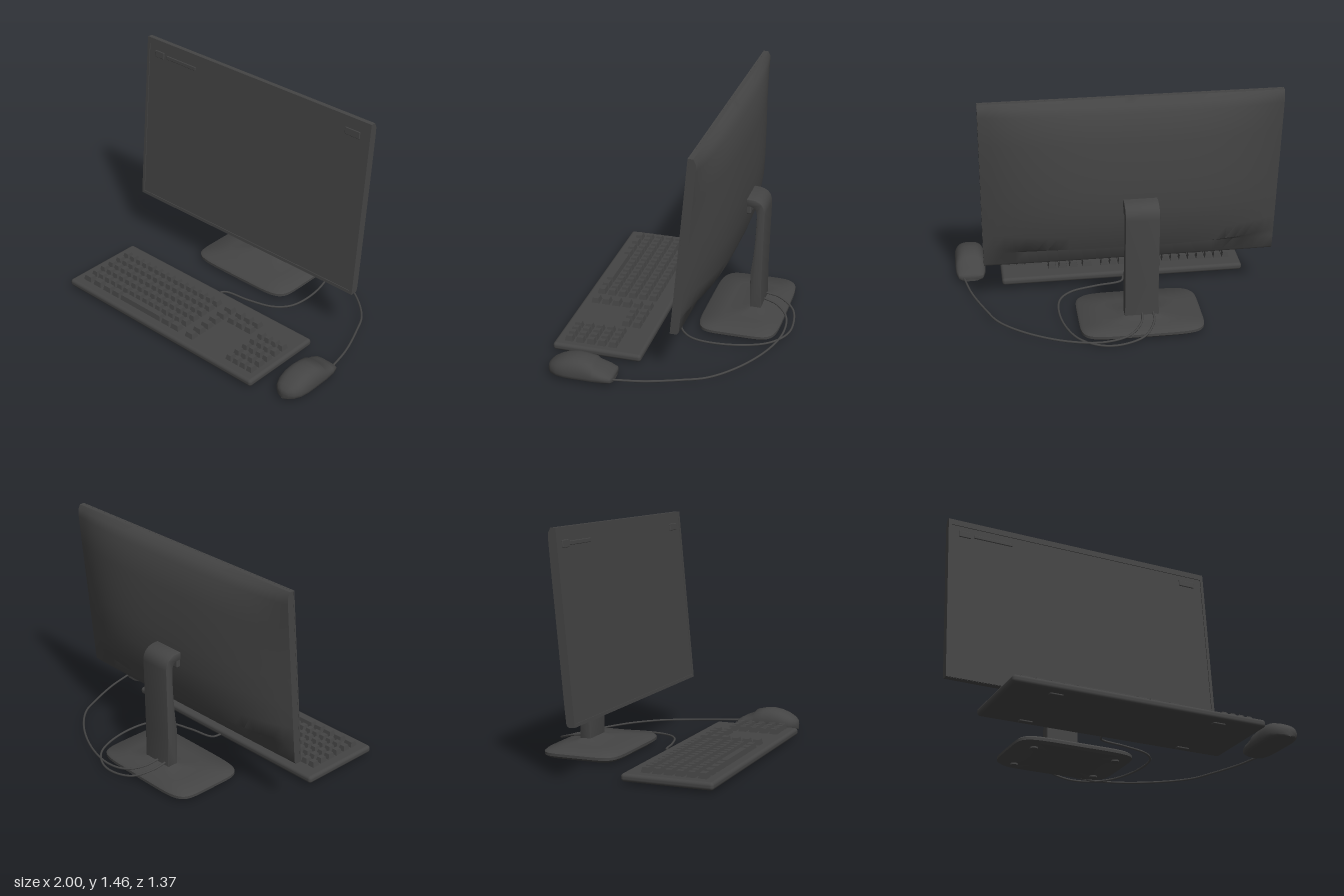
import * as THREE from 'three';
import { mergeGeometries, toCreasedNormals } from 'three/addons/utils/BufferGeometryUtils.js';
import { RoundedBoxGeometry } from 'three/addons/geometries/RoundedBoxGeometry.js';

const charcoal = new THREE.MeshStandardMaterial({ color: 0x444444 });
charcoal.name = 'charcoal plastic';

// Skin a list of equal-length rings of [x, y, z] and close both ends.
function loft(rings, crease = 0.7) {
  const n = rings[0].length, pos = rings.flat(2), idx = [];
  for (let i = 0; i < rings.length - 1; i++) {
    for (let j = 0; j < n; j++) {
      const a = i * n + j, b = i * n + (j + 1) % n;
      idx.push(a, b, b + n, a, b + n, a + n);
    }
  }
  [0, rings.length - 1].forEach((r, end) => {
    const c = pos.length / 3;
    for (let k = 0; k < 3; k++) pos.push(rings[r].reduce((s, p) => s + p[k], 0) / n);
    for (let j = 0; j < n; j++) {
      const a = r * n + j, b = r * n + (j + 1) % n;
      if (end) idx.push(c, a, b); else idx.push(c, b, a);
    }
  });
  const g = new THREE.BufferGeometry();
  g.setAttribute('position', new THREE.Float32BufferAttribute(pos, 3));
  g.setIndex(idx);
  return toCreasedNormals(g, crease);
}

const spow = (v, e) => Math.sign(v) * Math.pow(Math.abs(v), e);

function monitorShell() {
  // [height, thickness at the middle, thickness at the sides]
  const rows = [
    [0.33, 0.05, 0.045], [0.345, 0.062, 0.055], [0.43, 0.078, 0.056], [0.475, 0.165, 0.056],
    [0.58, 0.195, 0.056], [0.75, 0.208, 0.056], [0.9, 0.196, 0.056], [1.05, 0.177, 0.056],
    [1.2, 0.15, 0.056], [1.38, 0.11, 0.055], [1.425, 0.075, 0.052], [1.455, 0.034, 0.034],
  ];
  const M = 28;
  return loft(rows.map(([y, mid, side]) => {
    const zf = -0.112 - 0.0978 * (y - 0.33);
    const ring = [[-0.999, y, zf], [0.819, y, zf]];
    for (let i = 0; i <= M; i++) {
      const u = 1 - 2 * i / M;
      const t = side + (mid - side) * (1 - Math.pow(Math.abs(u), 3));
      ring.push([-0.09 + 0.909 * u, y, zf + 0.007 - t]);
    }
    return ring;
  }));
}

function bezel() {
  const rect = (path, w, h, dy = 0) => {
    path.moveTo(-w, dy - h); path.lineTo(w, dy - h); path.lineTo(w, dy + h);
    path.lineTo(-w, dy + h); path.closePath();
    return path;
  };
  const s = rect(new THREE.Shape(), 0.91, 0.565);
  s.holes.push(rect(new THREE.Path(), 0.89, 0.535, -0.01));
  return new THREE.ExtrudeGeometry(s, { depth: 0.009, bevelEnabled: false });
}

// Side profile of the column and its hooked arm, drawn as (-z, y).
function column() {
  const s = new THREE.Shape();
  s.moveTo(0.39, 0.05);
  s.lineTo(0.389, 0.33);
  s.quadraticCurveTo(0.417, 0.5, 0.422, 0.72);
  s.quadraticCurveTo(0.424, 0.79, 0.378, 0.795);
  s.lineTo(0.335, 0.795);
  s.lineTo(0.335, 0.838);
  s.lineTo(0.39, 0.835);
  s.quadraticCurveTo(0.463, 0.825, 0.465, 0.75);
  s.lineTo(0.454, 0.3);
  s.lineTo(0.454, 0.05);
  s.closePath();
  const g = new THREE.ExtrudeGeometry(s, {
    depth: 0.198, bevelThickness: 0.005, bevelSize: 0.004, bevelSegments: 2, curveSegments: 10,
  });
  g.translate(0, 0, -0.099).rotateY(Math.PI / 2);
  return toCreasedNormals(g, 0.6);
}

function base() {
  // [height, half width, half depth, z, roundness]
  const rows = [
    [0.01, 0.365, 0.238, -0.355, 6], [0.025, 0.385, 0.255, -0.355, 6], [0.042, 0.385, 0.255, -0.355, 6],
    [0.054, 0.372, 0.243, -0.355, 6], [0.066, 0.24, 0.15, -0.385, 5], [0.076, 0.14, 0.07, -0.415, 4],
    [0.088, 0.105, 0.04, -0.42, 6],
  ];
  return loft(rows.map(([y, hx, hz, z, n]) => Array.from({ length: 56 }, (_, i) => {
    const a = i / 56 * Math.PI * 2;
    return [-0.125 + hx * spow(Math.cos(a), 2 / n), y, z - hz * spow(Math.sin(a), 2 / n)];
  })));
}

function mouseBody() {
  // [z, half width, top height]
  const rows = [
    [0.208, 0.06, 0.052], [0.216, 0.08, 0.06], [0.26, 0.094, 0.083], [0.322, 0.098, 0.108],
    [0.334, 0.099, 0.126], [0.39, 0.099, 0.139], [0.44, 0.1, 0.144], [0.5, 0.099, 0.135],
    [0.55, 0.09, 0.115], [0.59, 0.07, 0.093], [0.612, 0.043, 0.073], [0.621, 0.015, 0.058],
  ];
  return loft(rows.map(([z, hw, top]) => Array.from({ length: 28 }, (_, i) => {
    const a = i / 28 * Math.PI * 2, s = Math.sin(a);
    const y = s >= 0 ? 0.045 + (top - 0.045) * Math.pow(s, 0.9) : 0.045 - 0.033 * Math.pow(-s, 0.5);
    return [0.896 + hw * spow(Math.cos(a), 0.75), y, z];
  })), 0.9);
}

// Key cap tapering towards its top.
function key(x, z, w, d = 0.058) {
  const g = new THREE.BoxGeometry(w, 0.045, d), p = g.attributes.position;
  for (let i = 0; i < p.count; i++) {
    if (p.getY(i) > 0) {
      p.setX(i, p.getX(i) - Math.sign(p.getX(i)) * 0.01);
      p.setZ(i, p.getZ(i) - Math.sign(p.getZ(i)) * 0.01);
    }
  }
  g.computeVertexNormals();
  return g.translate(x, 0.073, z);
}

function keys() {
  const list = [], rowZ = (r) => 0.24 + 0.07 * r;
  for (let r = 0; r < 5; r++) {
    for (let c = 0; c < 15; c++) list.push(key(-0.79 + c * 0.058, rowZ(r), 0.052));
  }
  // Bottom row with the space bar
  [-0.78, -0.69, -0.6, -0.52, -0.07, 0.01].forEach((x) => list.push(key(x, rowZ(5), 0.072)));
  list.push(key(-0.295, rowZ(5), 0.36));
  // Navigation keys and number pad
  for (let r = 0; r < 6; r++) list.push(key(0.135, rowZ(r), 0.07));
  for (let r = 0; r < 2; r++) [0.225, 0.295, 0.365].forEach((x) => list.push(key(x, rowZ(r), 0.06)));
  for (let r = 1; r < 6; r++) for (let c = 0; c < 4; c++) list.push(key(0.465 + c * 0.055, rowZ(r), 0.049));
  return mergeGeometries(list);
}

function cable(points) {
  const curve = new THREE.CatmullRomCurve3(points.map((p) => new THREE.Vector3(...p)));
  return new THREE.TubeGeometry(curve, 90, 0.007, 8);
}

export function createModel() {
  const model = new THREE.Group();
  model.name = 'desktopComputer';
  const add = (parent, name, geo, x = 0, y = 0, z = 0) => {
    const m = new THREE.Mesh(geo, charcoal);
    m.name = name;
    m.position.set(x, y, z);
    parent.add(m);
    return m;
  };
  const group = (name) => {
    const g = new THREE.Group();
    g.name = name;
    model.add(g);
    return g;
  };

  // Monitor
  const monitor = group('monitor');
  add(monitor, 'monitorShell', monitorShell());
  add(monitor, 'screenBezel', bezel(), -0.09, 0.893, -0.171).rotation.x = -0.0975;
  for (const [x, w] of [[-0.89, 0.08], [-0.7, 0.26], [0.69, 0.11]]) {
    const h = w > 0.2 ? 0.025 : 0.045;
    add(monitor, 'cornerDetail', new RoundedBoxGeometry(w, h, 0.009, 2, 0.004), x, 1.36, -0.211).rotation.x = -0.0975;
  }

  // Stand
  const stand = group('stand');
  add(stand, 'mountPlate', new RoundedBoxGeometry(0.2, 0.1, 0.05, 2, 0.008), -0.125, 0.79, -0.355);
  add(stand, 'column', column(), -0.125);
  add(stand, 'base', base());
  for (const sx of [-1, 1]) for (const sz of [-1, 1]) {
    add(stand, 'baseFoot', new THREE.CylinderGeometry(0.025, 0.025, 0.012, 16), -0.125 + sx * 0.27, 0.006, -0.355 + sz * 0.16);
  }

  // Keyboard
  const keyboard = group('keyboard');
  add(keyboard, 'keyboardBody', new RoundedBoxGeometry(1.58, 0.048, 0.565, 3, 0.02), -0.09, 0.039, 0.397);
  add(keyboard, 'keys', keys());
  for (const x of [-0.6, 0.42]) for (const z of [0.17, 0.61]) {
    add(keyboard, 'keyboardFoot', new RoundedBoxGeometry(0.08, 0.016, 0.03, 2, 0.005), x, 0.014, z);
  }
  add(keyboard, 'keyboardCable', cable([
    [-0.09, 0.03, 0.125], [-0.07, 0.025, 0.065], [0.1, 0.022, 0.03], [0.27, 0.022, -0.025], [0.35, 0.022, -0.12],
    [0.36, 0.022, -0.35], [0.28, 0.022, -0.57], [0.15, 0.022, -0.665], [0.02, 0.028, -0.68],
    [-0.12, 0.055, -0.645], [-0.19, 0.09, -0.54], [-0.195, 0.105, -0.45],
  ]));

  // Mouse
  const mouse = group('mouse');
  add(mouse, 'mouseBody', mouseBody());
  add(mouse, 'mouseCable', cable([
    [0.945, 0.032, 0.23], [0.9, 0.027, 0.03], [0.82, 0.024, -0.18], [0.75, 0.022, -0.32], [0.58, 0.022, -0.475],
    [0.33, 0.022, -0.6], [0.12, 0.03, -0.643], [-0.03, 0.052, -0.62], [-0.11, 0.08, -0.54], [-0.13, 0.1, -0.45],
  ]));
  return model;
}
